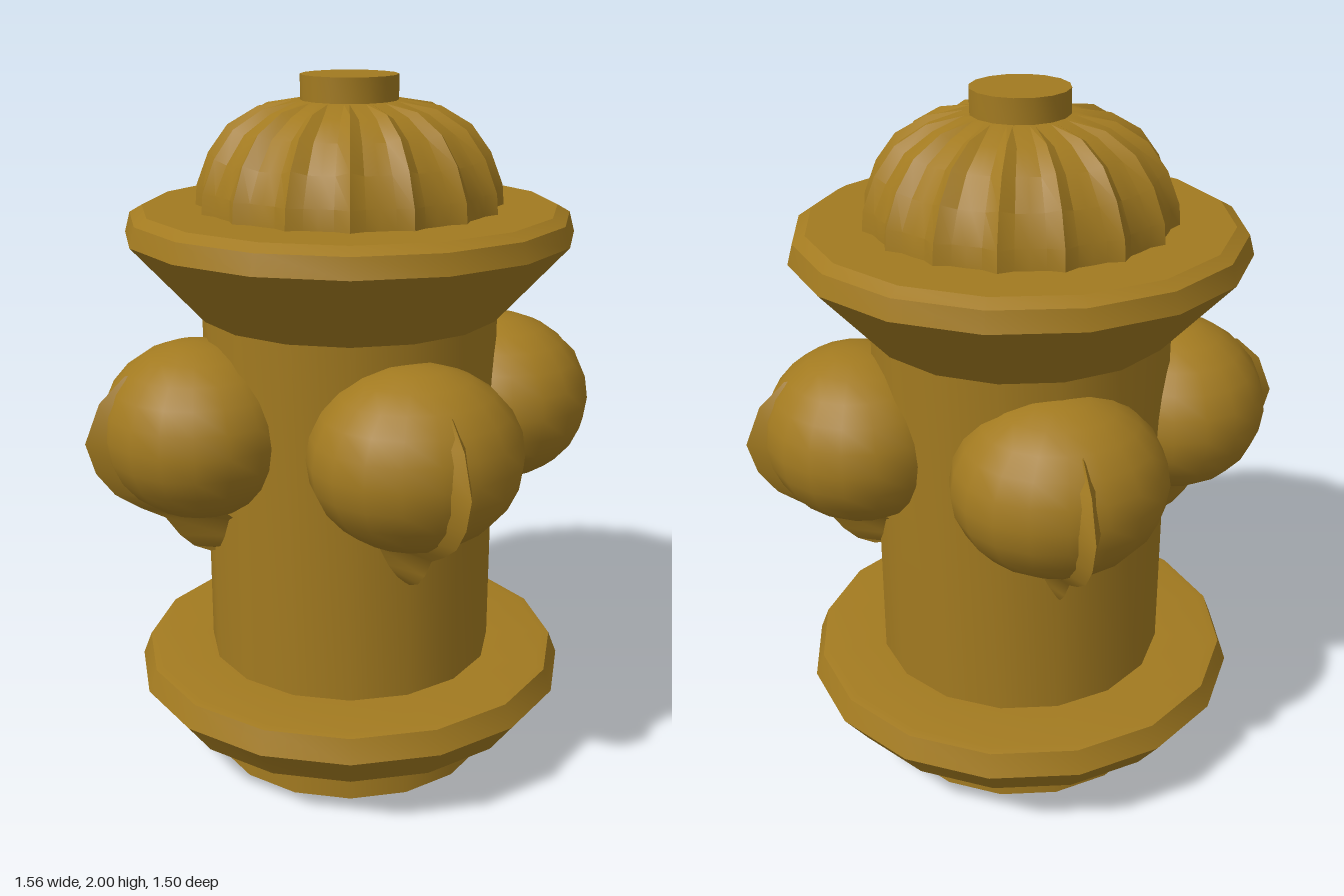
import * as THREE from 'three';
import { toCreasedNormals } from 'three/addons/utils/BufferGeometryUtils.js';

const CREASE = 0.5;
const SIDES = 16;

export function createModel() {
  const hydrant = new THREE.Group();
  hydrant.name = 'hydrant';
  const paint = new THREE.MeshStandardMaterial({ color: 0xa27a20 });
  paint.name = 'ochre paint';

  // Everything turned shares this slightly set-back axis.
  const column = new THREE.Group();
  column.name = 'column';
  column.position.z = -0.025;
  hydrant.add(column);

  const add = (parent, name, geometry) => {
    const mesh = new THREE.Mesh(geometry, paint);
    mesh.name = name;
    parent.add(mesh);
    return mesh;
  };
  const lathe = (points, sides = SIDES) =>
    new THREE.LatheGeometry(points.map(([r, y]) => new THREE.Vector2(r, y)), sides);
  const turned = (name, points) => add(column, name, toCreasedNormals(lathe(points), CREASE));

  // Barrel with a shallow recess in its underside
  turned('barrel', [[0, 0.17], [0.385, 0.17], [0.385, 0], [0.422, 0], [0.422, 1.36]]);
  turned('baseFlange', [[0.4, 0.15], [0.565, 0.15], [0.64, 0.25], [0.615, 0.315], [0.59, 0.32], [0.4, 0.32]]);
  turned('topFlange', [[0.4, 1.35], [0.43, 1.35], [0.63, 1.57], [0.615, 1.625], [0.58, 1.645], [0, 1.645]]);

  // Dome: every fourth meridian stays out as a rib, the others sink between
  const profile = [[0.43, 1.64], [0.425, 1.7], [0.39, 1.79], [0.335, 1.865], [0.25, 1.915], [0.15, 1.932], [0, 1.932]];
  const sink = [0.95, 0.95, 0.945, 0.945, 0.96, 1, 1];
  const dome = lathe(profile, SIDES * 4);
  const pos = dome.attributes.position;
  for (let i = 0; i < pos.count; i++) {
    const meridian = Math.floor(i / profile.length);
    const ring = i % profile.length;
    if (meridian % 4 === 0) continue;
    const k = sink[ring];
    const drop = k < 1 && ring > 1 ? 0.012 : 0;
    pos.setXYZ(i, pos.getX(i) * k, pos.getY(i) - drop, pos.getZ(i) * k);
  }
  add(column, 'ribbedDome', toCreasedNormals(dome, CREASE));

  // Cap nut
  turned('capNut', [[0.135, 1.9], [0.135, 2], [0, 2]]);

  // Keel: a wedge running over the outlet and down to a point on the barrel
  // rows: height, ridge distance, half width, base distance
  const keelRows = [
    [1.22, 0.655, 0.01, 0.6], [1.15, 0.73, 0.04, 0.66], [1.04, 0.775, 0.045, 0.69],
    [0.95, 0.75, 0.045, 0.66], [0.88, 0.7, 0.08, 0.55], [0.83, 0.63, 0.13, 0.42],
    [0.79, 0.56, 0.1, 0.38], [0.73, 0.52, 0.075, 0.38], [0.69, 0.48, 0.05, 0.38], [0.665, 0.43, 0, 0.38],
  ];
  const keelPoints = [];
  const keelFaces = [];
  keelRows.forEach(([y, ridge, w, base], i) => {
    keelPoints.push(-w, y, base, 0, y, ridge, w, y, base);
    if (i === keelRows.length - 1) return;
    const a = i * 3, b = a + 3;
    for (const s of [0, 1]) {
      keelFaces.push(a + s, b + s, b + s + 1, a + s, b + s + 1, a + s + 1);
    }
  });
  let keel = new THREE.BufferGeometry();
  keel.setAttribute('position', new THREE.Float32BufferAttribute(keelPoints, 3));
  keel.setIndex(keelFaces);
  keel = toCreasedNormals(keel, 0.7);

  // Rounded outlet body
  const ball = new THREE.SphereGeometry(1, 18, 12);
  ball.scale(0.295, 0.25, 0.27);
  ball.translate(0, 1.048, 0.455);

  // Four outlets: turn, sideways shift, outward shift
  const outlets = [
    ['frontOutlet', 0, 0, -0.025],
    ['leftOutlet', Math.PI / 2, -0.01, 0.005],
    ['backOutlet', Math.PI, 0, -0.025],
    ['rightOutlet', -Math.PI / 2, -0.03, 0.005],
  ];
  for (const [name, turn, side, out] of outlets) {
    const pivot = new THREE.Group();
    pivot.name = name;
    pivot.rotation.y = turn;
    add(pivot, 'outletBall', ball).position.set(side, 0, out);
    add(pivot, 'outletKeel', keel).position.set(side, 0, out);
    hydrant.add(pivot);
  }

  return hydrant;
}
